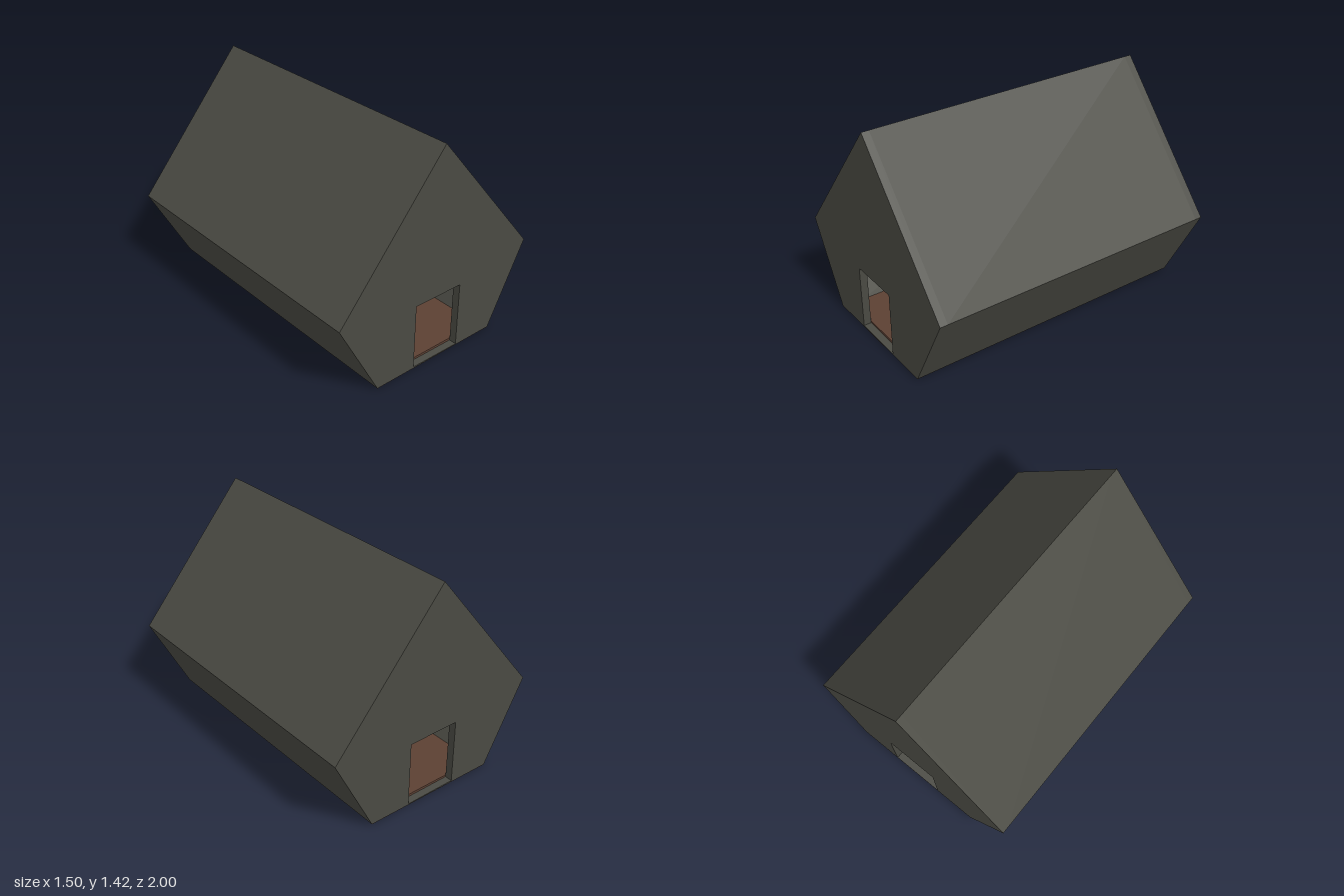
import * as THREE from 'three';

const WALL = 0.05; // wall thickness
const LENGTH = 2;

// Outline corners: bottom left, left eave, ridge, right eave, bottom right
const OUTER = [[-0.46, 0.002], [-0.75, 0.53], [-0.005, 1.425], [0.745, 0.545], [0.47, 0.01]];
const INNER = [[-0.403, 0.0025], [-0.69, 0.524], [-0.005, 1.347], [0.685, 0.539], [0.412, 0.0095]];
const DOOR = [[-0.172, 0.012], [0.184, 0.012], [0.184, 0.443], [-0.172, 0.443]];

const toPoints = (list) => list.map(([x, y]) => new THREE.Vector2(x, y));

// Extrude a shape along z, centred on the given z
function slab(name, shape, depth, z, material) {
  const geometry = new THREE.ExtrudeGeometry(shape, { depth, bevelEnabled: false });
  geometry.translate(0, 0, z - depth / 2);
  const mesh = new THREE.Mesh(geometry, material);
  mesh.name = name;
  return mesh;
}

export function createModel() {
  const house = new THREE.Group();
  house.name = 'house';

  const grey = new THREE.MeshStandardMaterial({ color: 0x4a4a43 });
  grey.name = 'dark grey walls';
  const brown = new THREE.MeshStandardMaterial({ color: 0x5c4033 });
  brown.name = 'brown floor';

  // Leaning side walls and pitched roof as one hollow arch
  const arch = new THREE.Shape(toPoints([...OUTER, ...[...INNER].reverse()]));
  house.add(slab('sideWallsAndRoof', arch, LENGTH - 2 * WALL, 0, grey));

  // End walls, each with an open doorway
  for (const [name, side] of [['frontWall', 1], ['backWall', -1]]) {
    const gable = new THREE.Shape(toPoints(OUTER));
    gable.holes.push(new THREE.Path(toPoints(DOOR)));
    house.add(slab(name, gable, WALL, side * (LENGTH - WALL) / 2, grey));
  }

  // Floor between the walls
  const floor = new THREE.Shape(toPoints([
    [-0.403, 0.0025], [0.412, 0.0095], [0.421, 0.03], [-0.416, 0.024],
  ]));
  house.add(slab('floor', floor, LENGTH - 2 * WALL, 0, brown));

  // Thin underside reaching out to the edges of the walls
  const underside = new THREE.Shape(toPoints([
    [-0.459, 0], [0.469, 0.008], [0.47, 0.01], [-0.46, 0.002],
  ]));
  house.add(slab('underside', underside, LENGTH, 0, brown));

  return house;
}
